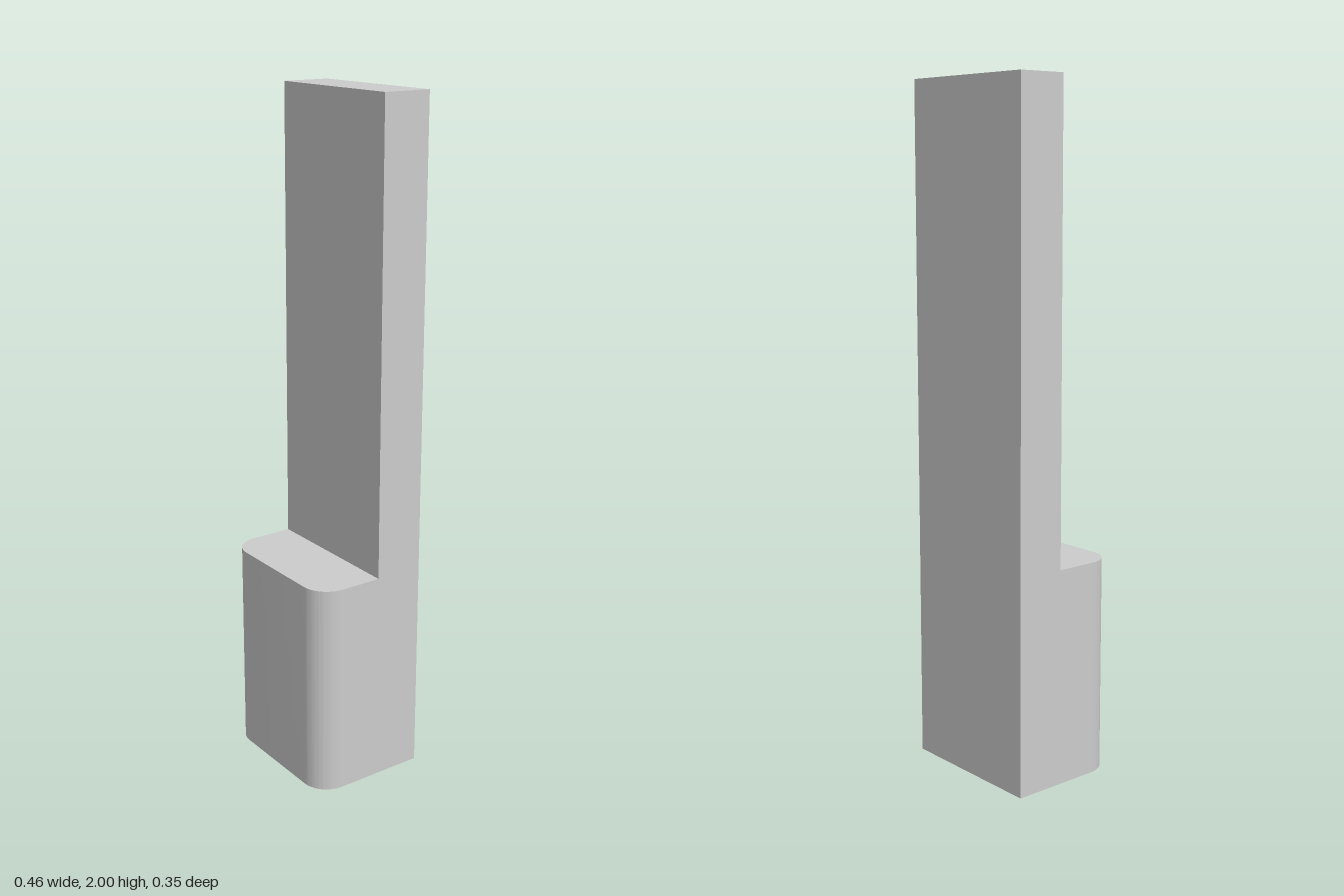
import * as THREE from 'three';
import { toCreasedNormals } from 'three/addons/utils/BufferGeometryUtils.js';

const HALF_WIDTH = 0.231, BACK = -0.177, FRONT = 0.177, PANEL_FRONT = -0.029;
const BASE_HEIGHT = 0.64, HEIGHT = 2, RADIUS = 0.08;

export function createModel() {
  const group = new THREE.Group();
  group.name = 'steppedPost';
  const material = new THREE.MeshStandardMaterial({ color: 0xcccccc });

  // Base: footprint with square back corners and rounded front corners (shape y is -z)
  const w = HALF_WIDTH, r = RADIUS;
  const footprint = new THREE.Shape();
  footprint.moveTo(w, -BACK);
  footprint.lineTo(-w, -BACK);
  footprint.lineTo(-w, -FRONT + r);
  footprint.absarc(-w + r, -FRONT + r, r, Math.PI, Math.PI * 1.5, false);
  footprint.absarc(w - r, -FRONT + r, r, Math.PI * 1.5, Math.PI * 2, false);
  footprint.closePath();
  const baseGeometry = new THREE.ExtrudeGeometry(footprint, {
    depth: BASE_HEIGHT, bevelEnabled: false, curveSegments: 16,
  }).rotateX(-Math.PI / 2);
  const base = new THREE.Mesh(toCreasedNormals(baseGeometry, Math.PI / 6), material);
  base.name = 'base';

  // Upright panel rising from the back of the base
  const panelHeight = HEIGHT - BASE_HEIGHT;
  const panel = new THREE.Mesh(
    new THREE.BoxGeometry(w * 2, panelHeight, PANEL_FRONT - BACK), material);
  panel.position.set(0, BASE_HEIGHT + panelHeight / 2, (PANEL_FRONT + BACK) / 2);
  panel.name = 'backPanel';

  group.add(base, panel);
  return group;
}
